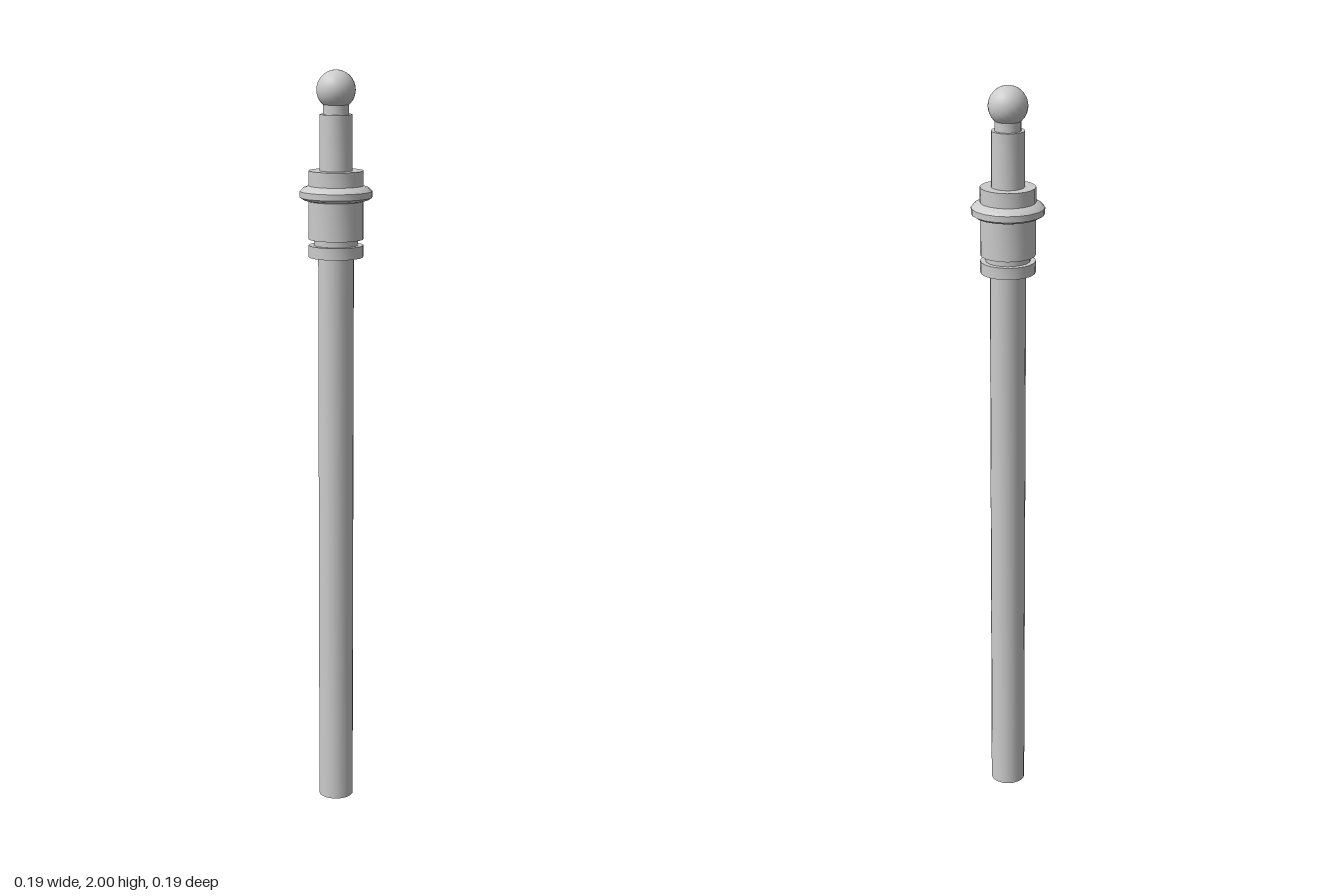
import * as THREE from 'three';
import { toCreasedNormals } from 'three/addons/utils/BufferGeometryUtils.js';

const SIDES = 20;

export function createModel() {
  const group = new THREE.Group();
  const material = new THREE.MeshStandardMaterial({ color: 0xcccccc, side: THREE.DoubleSide });

  // Turned part from [radius, height] pairs, listed bottom to top
  function turned(name, profile) {
    const points = profile.map(([r, y]) => new THREE.Vector2(r, y));
    const geometry = toCreasedNormals(new THREE.LatheGeometry(points, SIDES), 0.5);
    const mesh = new THREE.Mesh(geometry, material);
    mesh.name = name;
    group.add(mesh);
  }

  // Long hollow tube, open at the foot
  turned('lowerTube', [[0.047, 0], [0.047, 1.52]]);

  // Collar: lower ring, narrow groove, sleeve, bevelled flange and top step
  turned('collar', [
    [0.047, 1.518], [0.072, 1.518], [0.072, 1.549],
    [0.058, 1.549], [0.058, 1.565],
    [0.072, 1.565], [0.072, 1.664],
    [0.086, 1.668], [0.095, 1.674], [0.095, 1.69], [0.086, 1.699], [0.072, 1.704],
    [0.072, 1.743], [0.043, 1.743],
  ]);

  // Upper stem with a short neck below the ball
  turned('upperStem', [
    [0.043, 1.74], [0.043, 1.887], [0.034, 1.887], [0.034, 1.92],
  ]);

  // Ball tip
  const ball = new THREE.Mesh(new THREE.SphereGeometry(0.051, SIDES, 16), material);
  ball.name = 'ballTip';
  ball.position.y = 1.949;
  group.add(ball);

  return group;
}
